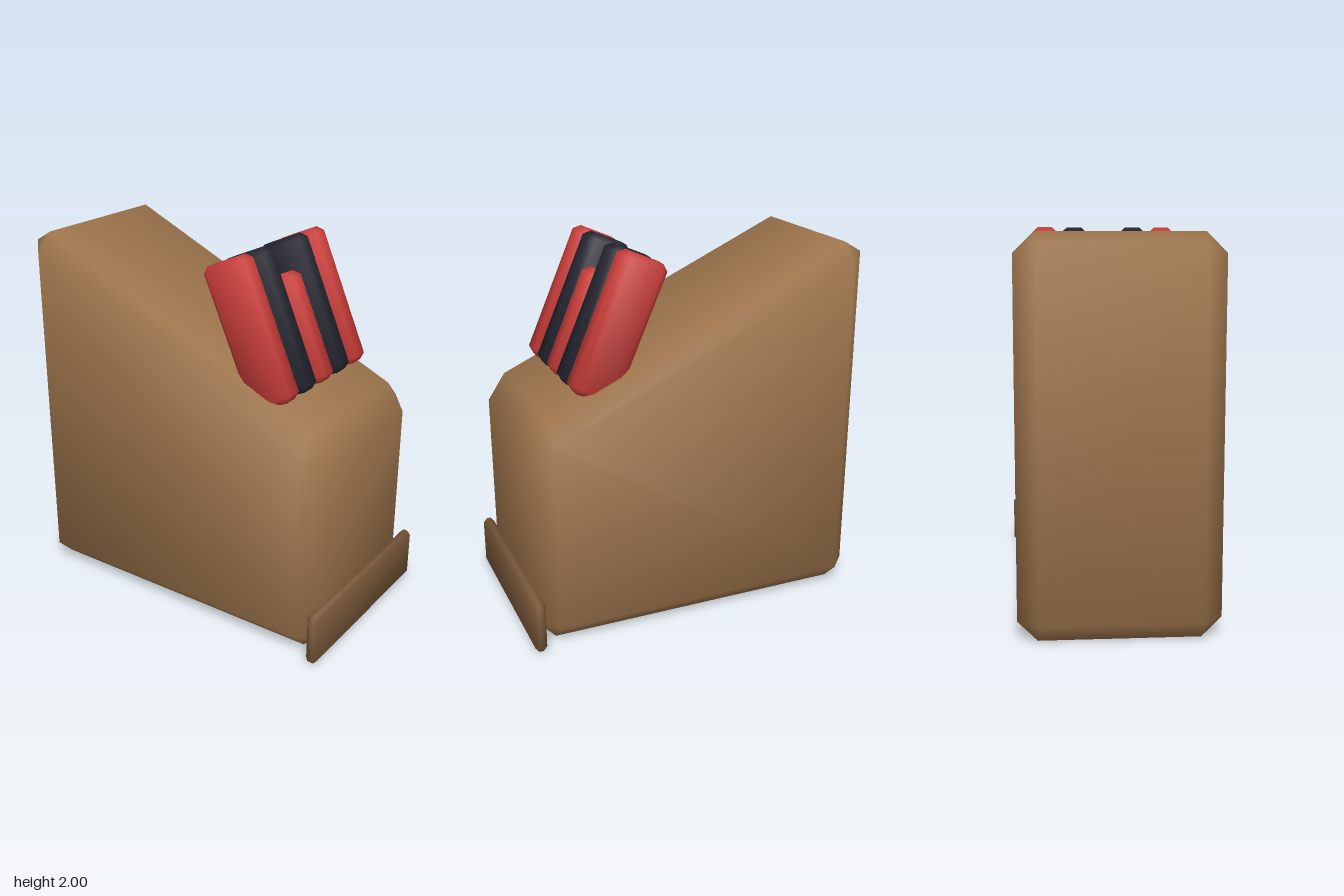
import * as THREE from 'three';

const flat = (name, color) => {
  const m = new THREE.MeshStandardMaterial({ color });
  m.name = name;
  return m;
};

// Box with one-step chamfers and soft normals; bevel = [x, y, z], reshape edits each corner point
function chamferedBox(size, bevel, reshape = () => {}) {
  const points = [];
  // three points per corner, one on each of the faces meeting there
  for (let c = 0; c < 8; c++) {
    const sign = [c & 1 ? 1 : -1, c & 2 ? 1 : -1, c & 4 ? 1 : -1];
    for (let axis = 0; axis < 3; axis++) {
      const p = sign.map((s, i) => s * (size[i] / 2 - (i === axis ? 0 : bevel[i])));
      const v = new THREE.Vector3(...p);
      reshape(v);
      points.push(v);
    }
  }
  const id = (axis, corner) => corner * 3 + axis;
  const polys = [];
  for (let a = 0; a < 3; a++) {
    const b = (a + 1) % 3, c = (a + 2) % 3;
    const A = 1 << a, B = 1 << b, C = 1 << c;
    // main faces
    for (const k of [0, A]) polys.push([id(a, k), id(a, k + B), id(a, k + B + C), id(a, k + C)]);
    // edge chamfers running along axis a
    for (const k of [0, B, C, B + C]) polys.push([id(b, k), id(b, k + A), id(c, k + A), id(c, k)]);
  }
  // corner triangles
  for (let k = 0; k < 8; k++) polys.push([id(0, k), id(1, k), id(2, k)]);

  const centre = points.reduce((s, p) => s.add(p), new THREE.Vector3()).divideScalar(24);
  const normals = points.map(() => new THREE.Vector3());
  const index = [];
  for (const poly of polys) {
    const [p, q, r] = poly.map(i => points[i]);
    const n = q.clone().sub(p).cross(r.clone().sub(p)).normalize();
    if (n.dot(p.clone().sub(centre)) < 0) { n.negate(); poly.reverse(); }
    // weight by corner angle: 90 degrees in quads, 60 in triangles
    for (const i of poly) normals[i].addScaledVector(n, poly.length === 4 ? 1 : 2 / 3);
    for (let i = 2; i < poly.length; i++) index.push(poly[0], poly[i - 1], poly[i]);
  }
  const g = new THREE.BufferGeometry();
  g.setAttribute('position', new THREE.Float32BufferAttribute(points.flatMap(v => v.toArray()), 3));
  g.setAttribute('normal', new THREE.Float32BufferAttribute(normals.flatMap(v => v.normalize().toArray()), 3));
  g.setIndex(index);
  return g;
}

export function createModel() {
  const group = new THREE.Group();
  group.name = 'knifeBlock';
  const wood = flat('wood', 0x9e754c);
  const darkWood = flat('darkWood', 0x785738);
  const red = flat('redHandle', 0xc93d39);
  const navy = flat('navyHandle', 0x242430);

  const add = (name, geometry, material, x, y, z) => {
    const mesh = new THREE.Mesh(geometry, material);
    mesh.name = name;
    mesh.position.set(x, y, z);
    group.add(mesh);
    return mesh;
  };

  // Block: the top rises toward the back
  const block = chamferedBox([1, 1, 1.83], [0.1, 0.1, 0.095], v => {
    v.y += 0.5;
    v.z -= 0.025;
    if (v.y > 0.5) v.y += 0.21 + (0.8 - v.z) * 0.457;
  });
  add('block', block, wood, 0, 0, 0);

  // Plate across the foot of the front
  add('frontPlate', chamferedBox([1.08, 0.285, 0.062], [0.024, 0.024, 0.02]), darkWood, 0, 0.148, 0.909);

  // Knife handles, leaning back; the middle one is shorter
  const tilt = 0.412;
  const handles = new THREE.Group();
  handles.name = 'handles';
  group.add(handles);
  for (let i = -2; i <= 2; i++) {
    const length = i === 0 ? 0.58 : 0.743;
    const along = 0.957 + length / 2, across = 1.017;
    const handle = add(
      'handle' + (i + 3),
      chamferedBox([0.14, length, 0.255], [0.03, 0.03, 0.037]),
      i % 2 ? navy : red,
      i * 0.1665,
      across * Math.sin(tilt) + along * Math.cos(tilt),
      across * Math.cos(tilt) - along * Math.sin(tilt)
    );
    handle.rotation.x = -tilt;
    handles.add(handle);
  }
  return group;
}
